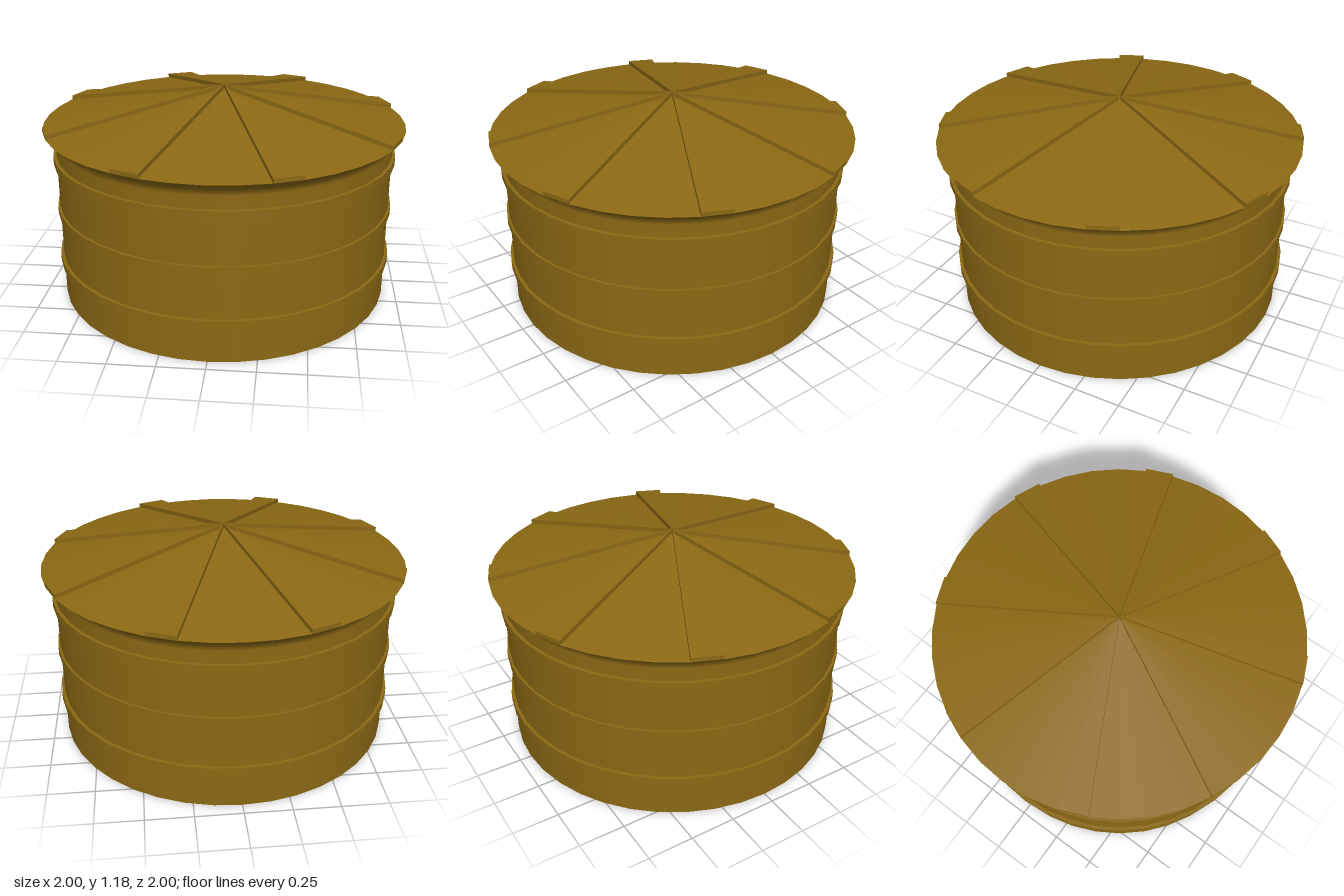
import * as THREE from 'three';

const SEGMENTS = 40;
const STEP = (Math.PI * 2) / SEGMENTS;
const EAVE_Y = 0.977, APEX_Y = 1.153, RIB_LIFT = 0.023;

const material = new THREE.MeshStandardMaterial({ color: 0x8b6914, side: THREE.DoubleSide });

function addMesh(parent, name, geometry, y = 0) {
  const mesh = new THREE.Mesh(geometry, material);
  mesh.name = name;
  mesh.position.y = y;
  parent.add(mesh);
  return mesh;
}

// Surface of revolution from [radius, height] pairs
function revolve(points) {
  return new THREE.LatheGeometry(points.map(([r, y]) => new THREE.Vector2(r, y)), SEGMENTS);
}

// Flat-sided wedge, one roof segment wide, lifted off the roof slope
function ribGeometry() {
  const edge = (angle, y) => [Math.cos(angle), y, -Math.sin(angle)];
  const a = edge(0, EAVE_Y), b = edge(STEP, EAVE_Y), c = [0, APEX_Y, 0];
  const [A, B, C] = [a, b, c].map(([x, y, z]) => [x, y + RIB_LIFT, z]);
  const quad = (p, q, r, s) => [p, q, r, p, r, s];
  const corners = [A, B, C, ...quad(a, b, B, A), ...quad(b, c, C, B), ...quad(c, a, A, C)];
  const geometry = new THREE.BufferGeometry();
  geometry.setAttribute('position', new THREE.Float32BufferAttribute(corners.flat(), 3));
  geometry.computeVertexNormals();
  return geometry;
}

export function createModel() {
  const group = new THREE.Group();
  group.name = 'storageTank';

  // Wall flaring out into the eave
  addMesh(group, 'wall', revolve([[0.935, 0], [0.935, 0.9], [0.938, 0.932], [1, EAVE_Y]]));

  // Floor disc
  const floor = new THREE.CircleGeometry(0.935, SEGMENTS);
  floor.rotateX(Math.PI / 2);
  addMesh(group, 'floor', floor);

  // Hoops around the wall
  for (const [y, radius] of [[0.222, 0.953], [0.515, 0.948], [0.808, 0.953]]) {
    addMesh(group, 'hoop', new THREE.CylinderGeometry(radius, radius, 0.044, SEGMENTS), y);
  }

  // Shallow conical roof
  const roofHeight = APEX_Y - EAVE_Y;
  addMesh(group, 'roof', new THREE.ConeGeometry(1, roofHeight, SEGMENTS, 1, true), EAVE_Y + roofHeight / 2);

  // Eight raised ribs on the roof
  const rib = ribGeometry();
  for (let i = 0; i < 8; i++) {
    addMesh(group, 'roofRib', rib).rotation.y = 2 * STEP + (i * Math.PI) / 4;
  }

  return group;
}
